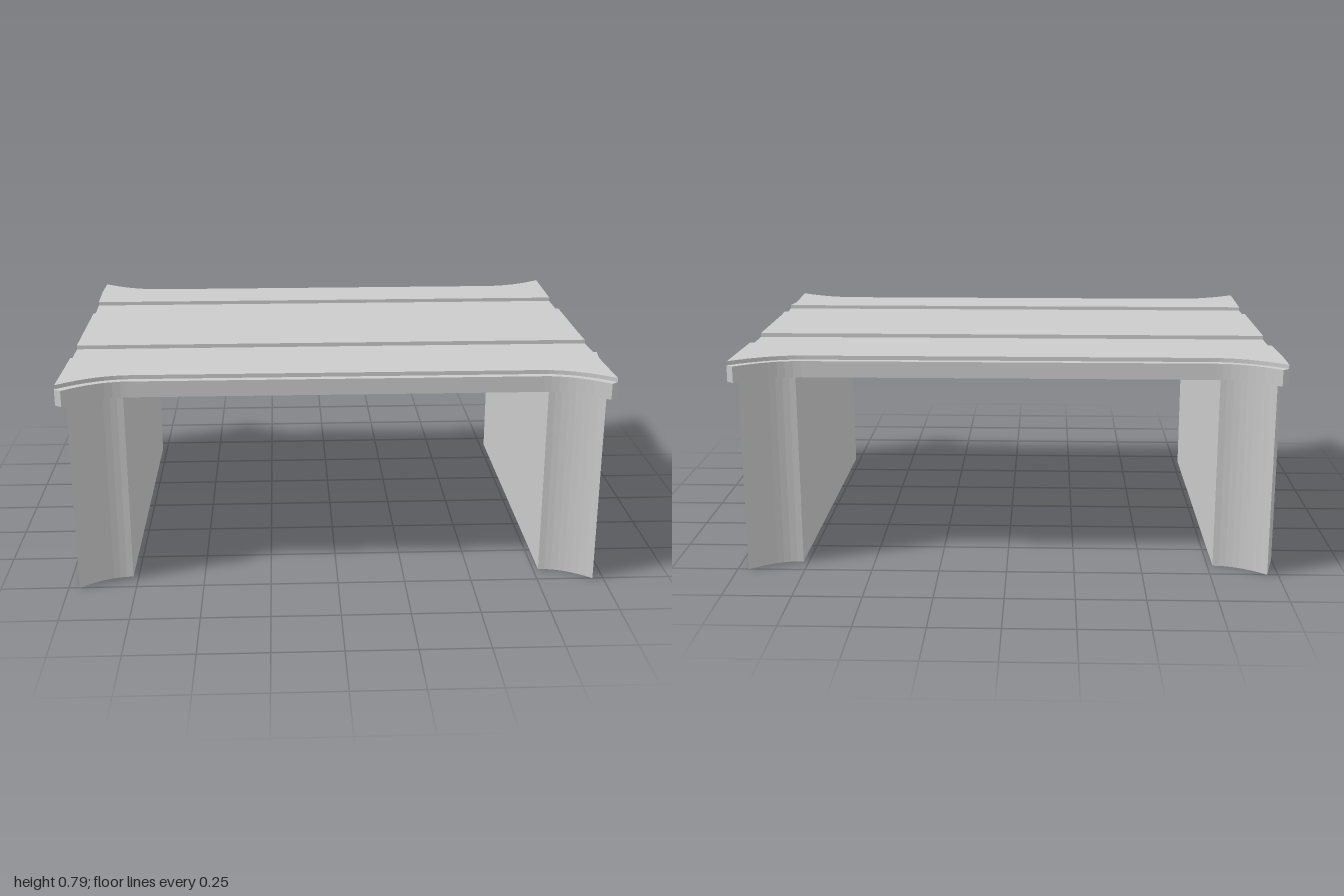
import * as THREE from 'three';

const material = new THREE.MeshStandardMaterial({ color: 0xcccccc, flatShading: true });

// Upright prism from a plan outline of [x, z] points
function prism(name, plan, y0, y1) {
  const shape = new THREE.Shape(plan.map(([x, z]) => new THREE.Vector2(x, -z)));
  const geometry = new THREE.ExtrudeGeometry(shape, { depth: y1 - y0, bevelEnabled: false });
  geometry.rotateX(-Math.PI / 2).translate(0, y0, 0);
  const mesh = new THREE.Mesh(geometry, material);
  mesh.name = name;
  return mesh;
}

// Flared end curve from x0 to x1: flat at z0, sweeping out to z1 at the tip
function flare(x0, x1, z0, z1, tip = x1, steps = 8) {
  const points = [];
  for (let i = 0; i <= steps; i++) {
    const x = x0 + ((x1 - x0) * i) / steps;
    points.push([x, z0 + (z1 - z0) * ((x - x0) / (tip - x0)) ** 2]);
  }
  return points;
}
const mirrorX = (pts) => pts.map(([x, z]) => [-x, z]).reverse();
const mirrorZ = (pts) => pts.map(([x, z]) => [x, -z]).reverse();

// Slightly bowed long edges of the deck, front to back on +x, back to front on -x
const sideRight = [[0.99, 0.5], [1, 0.41], [0.991, 0.17], [0.991, -0.45]];
const sideLeft = [[-0.993, -0.5], [-1, -0.6], [-0.991, -0.3], [-0.991, 0.45]];
const edgeX = (side, z) => {
  for (let i = 0; i < side.length - 1; i++) {
    const [[xa, za], [xb, zb]] = [side[i], side[i + 1]];
    const t = (z - za) / (zb - za);
    if (t >= 0 && t <= 1) return xa + (xb - xa) * t;
  }
  return Math.sign(side[0][0]) * 0.99;
};

export function createModel() {
  const group = new THREE.Group();
  group.name = 'bridge';

  // Deck plate with flared, blunt corners
  const deckFlare = [...flare(0.75, 0.975, 0.667, 0.765), [1, 0.745]];
  const deckFront = [...mirrorX(deckFlare), ...deckFlare];
  group.add(prism('deck', [...deckFront, ...sideRight, ...mirrorZ(deckFront), ...sideLeft], 0.715, 0.775));

  // Raised planks separated by two shallow channels
  const topFlare = flare(0.74, 0.998, 0.64, 0.745);
  const topFront = [...mirrorX(topFlare), ...topFlare];
  const topY = [0.775, 0.79];
  group.add(prism('frontPlank', [
    ...topFront, [0.99, 0.5], [1, 0.42], [-0.991, 0.42],
  ], ...topY));
  group.add(prism('middlePlank', [
    [-0.991, 0.255], [edgeX(sideRight, 0.255), 0.255], [0.991, 0.17], [0.991, -0.225], [-0.991, -0.225],
  ], ...topY));
  group.add(prism('backPlank', [
    [-0.994, -0.415], [0.991, -0.415], ...mirrorZ(topFront), [-1, -0.6],
  ], ...topY));

  // Side walls: curved ends flush with the deck, outer face bent once
  const wallFront = flare(0.77, 0.96, 0.6675, 0.752);
  for (const [name, sign, bend] of [['leftWall', 1, 0.41], ['rightWall', -1, -0.6]]) {
    const plan = [...wallFront, [1, bend], ...mirrorZ(wallFront)];
    group.add(prism(name, plan.map(([x, z]) => [sign * x, z]), 0, 0.715));
  }
  return group;
}
